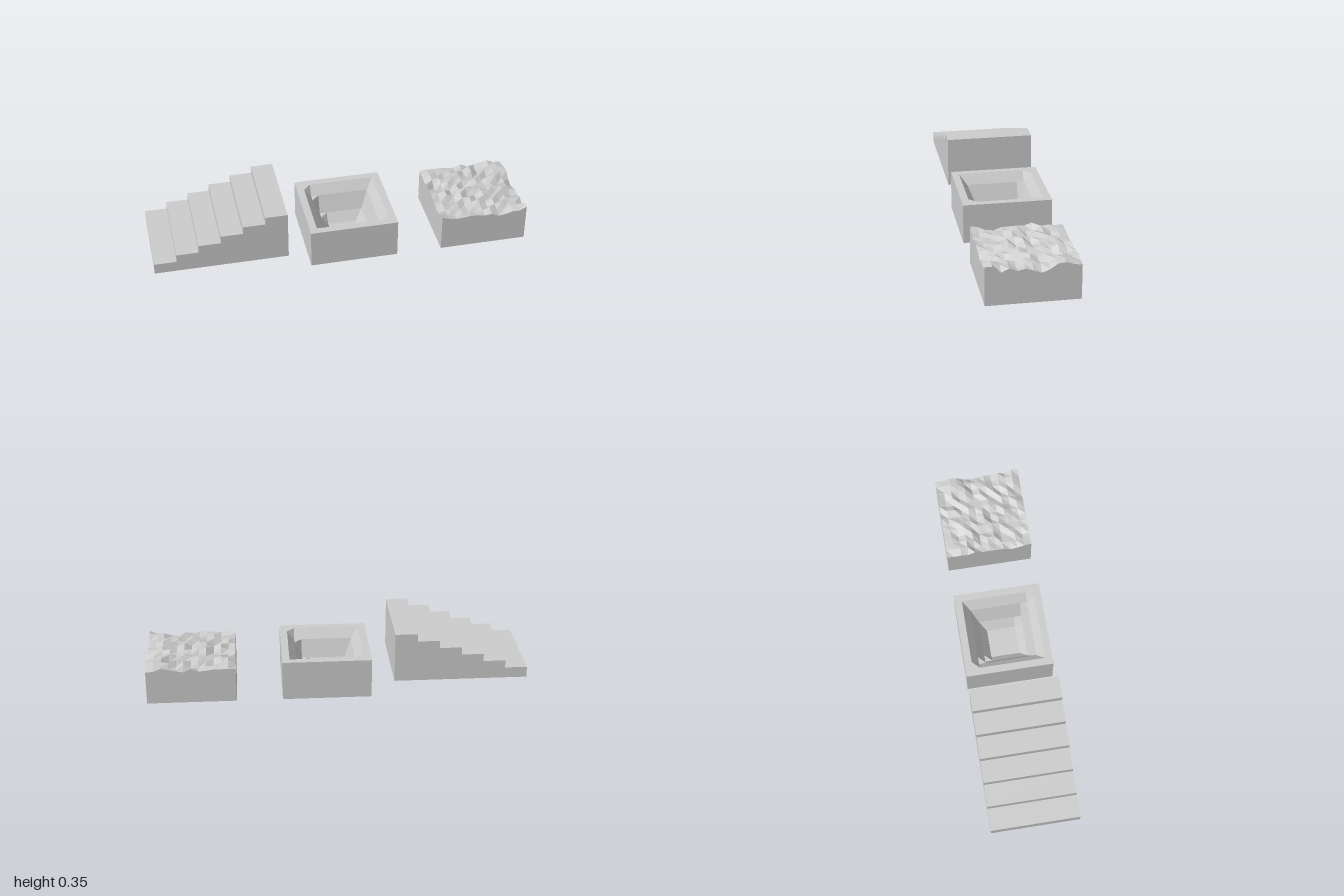
import * as THREE from 'three';

const SIZE = 0.468, CELLS = 12, STEPS = 6;
const material = new THREE.MeshStandardMaterial({ color: 0xcccccc, flatShading: true });

// Box whose gridded top is set by a height rule of column i (along x) and row j (along z)
function heightBlock(name, x, heightAt) {
  const geometry = new THREE.BoxGeometry(SIZE, 0.2, SIZE, CELLS, 1, CELLS);
  const p = geometry.attributes.position;
  for (let k = 0; k < p.count; k++) {
    const i = Math.round((p.getX(k) / SIZE + 0.5) * CELLS);
    const j = Math.round((p.getZ(k) / SIZE + 0.5) * CELLS);
    p.setY(k, p.getY(k) > 0 ? heightAt(i, j) : 0);
  }
  geometry.computeVertexNormals();
  const mesh = new THREE.Mesh(geometry, material);
  mesh.name = name;
  mesh.position.x = x;
  return mesh;
}

// Solid flight of steps rising toward +x
function staircase() {
  const left = -1, run = 0.702 / STEPS, base = 0.087;
  const shape = new THREE.Shape();
  shape.moveTo(left, base);
  for (let s = 0; s < STEPS; s++) {
    const y = 0.145 + s * 0.0417;
    shape.lineTo(left + s * run, y);
    shape.lineTo(left + (s + 1) * run, y);
  }
  shape.lineTo(left + STEPS * run, base);
  shape.closePath();
  const geometry = new THREE.ExtrudeGeometry(shape, { depth: SIZE, bevelEnabled: false });
  geometry.translate(0, 0, -SIZE / 2);
  const mesh = new THREE.Mesh(geometry, material);
  mesh.name = 'staircase';
  return mesh;
}

// Square basin: flat rim, then walls easing down to a flat floor
function basinHeight(i, j) {
  const ring = Math.min(i, j, CELLS - i, CELLS - j);
  const t = THREE.MathUtils.smoothstep(ring, 1, 4);
  return 0.212 - 0.195 * t;
}

// Rough ground: profiled front and left edges, seeded noise elsewhere
function roughGround() {
  const frontEdge = [0.203, 0.19, 0.184, 0.186, 0.191, 0.19, 0.182, 0.187, 0.168, 0.173, 0.185, 0.184, 0.203];
  const leftEdge = [0.18, 0.186, 0.199, 0.195, 0.168, 0.153, 0.168, 0.18, 0.172, 0.188, 0.17, 0.204, 0.203];
  let seed = 11;
  const random = () => (seed = (seed * 16807) % 2147483647) / 2147483647;
  for (let n = 0; n < 5; n++) random();
  const noise = Array.from({ length: (CELLS + 1) ** 2 }, () => 0.17 + 0.035 * random());
  return (i, j) => {
    if (i === CELLS) return leftEdge[j];
    if (j === CELLS) return frontEdge[i];
    return noise[j * (CELLS + 1) + i];
  };
}

export function createModel() {
  const group = new THREE.Group();
  group.name = 'terrainBlocks';
  group.add(
    staircase(),
    heightBlock('basin', 0.056, basinHeight),
    heightBlock('roughGround', 0.766, roughGround())
  );
  return group;
}
